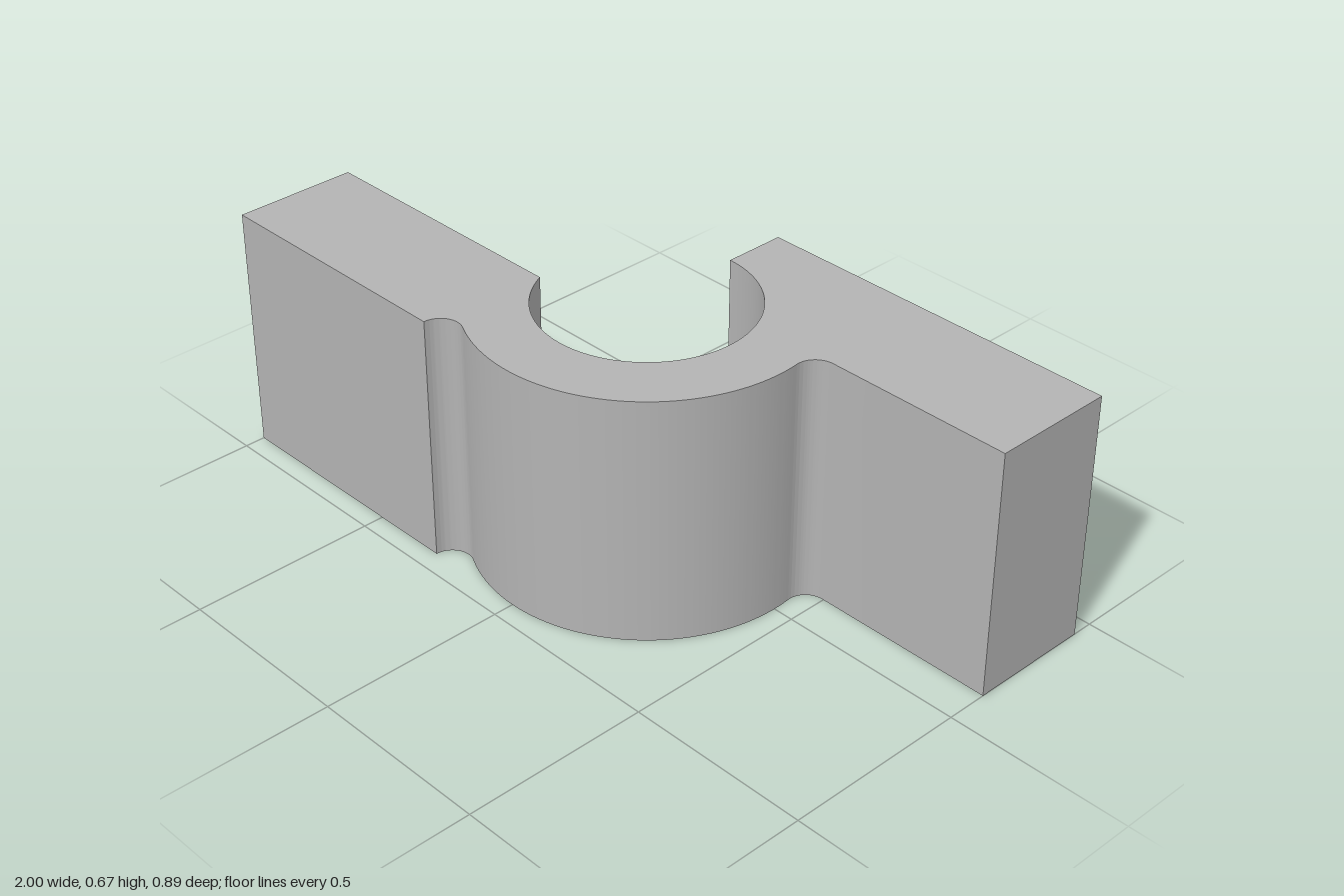
import * as THREE from 'three';
import { toCreasedNormals } from 'three/addons/utils/BufferGeometryUtils.js';

export function createModel() {
  const group = new THREE.Group();
  group.name = 'hookBracket';
  const grey = new THREE.MeshStandardMaterial({ color: 0xb3b3b3 });
  grey.name = 'plain grey';

  const height = 0.667;
  const outer = 0.4444, inner = 0.2778, fillet = 0.0556, step = 0.1111;

  // Fillet centres touch the outer ring from outside
  const reach = outer + fillet;
  const rightX = Math.sqrt(reach ** 2 - (step - fillet) ** 2);
  const leftX = Math.sqrt(reach ** 2 - outer ** 2);
  const rightAngle = Math.atan2(step - fillet, rightX);
  const leftAngle = Math.atan2(outer, leftX);
  const lipX = Math.sqrt(inner ** 2 - step ** 2);

  // Plan outline, shape y pointing to the back
  const s = new THREE.Shape();
  s.moveTo(0, outer);
  s.lineTo(1, outer);
  s.lineTo(1, step);
  s.lineTo(rightX, step);
  s.absarc(rightX, step - fillet, fillet, Math.PI / 2, Math.PI + rightAngle, false);
  s.absarc(0, 0, outer, rightAngle, leftAngle - Math.PI, true);
  s.absarc(-leftX, -outer, fillet, leftAngle, Math.PI, false);
  s.lineTo(-1, -outer);
  s.lineTo(-1, -step);
  s.lineTo(-lipX, -step);
  s.absarc(0, 0, inner, Math.atan2(-step, -lipX), Math.PI / 2, false);
  s.closePath();

  // Extrude upward and keep the hard corners sharp
  let geometry = new THREE.ExtrudeGeometry(s, { depth: height, bevelEnabled: false, curveSegments: 48 });
  geometry.rotateX(-Math.PI / 2);
  geometry = toCreasedNormals(geometry, 0.4);

  const body = new THREE.Mesh(geometry, grey);
  body.name = 'bracketBody';
  group.add(body);
  return group;
}
